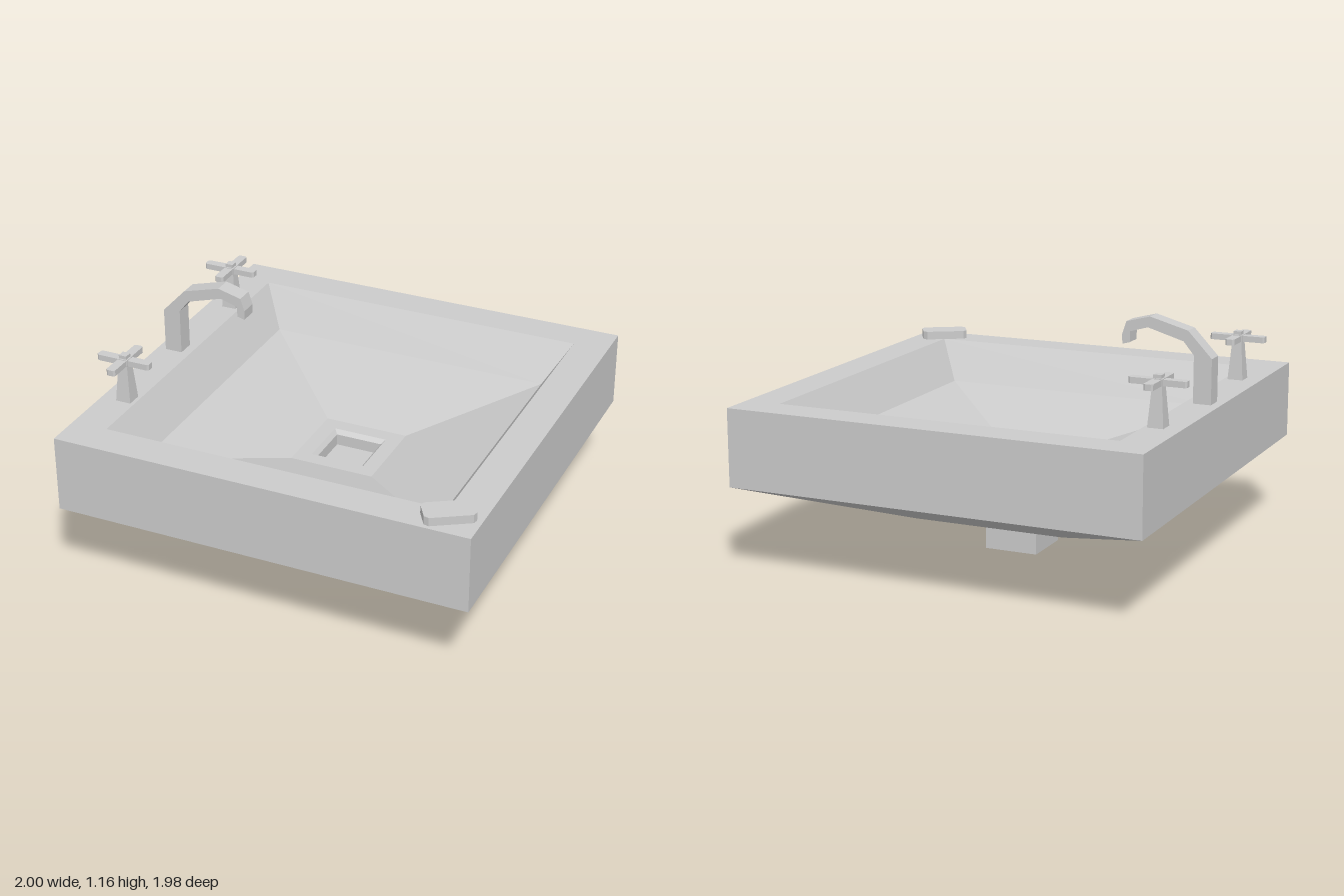
import * as THREE from 'three';

const grey = new THREE.MeshStandardMaterial({ color: 0xcccccc, flatShading: true });

function add(parent, name, geometry, x = 0, y = 0, z = 0) {
  const mesh = new THREE.Mesh(geometry, grey);
  mesh.name = name;
  mesh.position.set(x, y, z);
  parent.add(mesh);
  return mesh;
}

// Square-plan solid from a profile of [half width, height] pairs
function squareLathe(profile) {
  const points = profile.map(([h, y]) => new THREE.Vector2(h * Math.SQRT2, y));
  return new THREE.LatheGeometry(points, 4, Math.PI / 4);
}

// Horizontal slab with cut corners, standing on y = 0
function chamferedSlab(length, width, height, c) {
  const a = length / 2, b = width / 2;
  const shape = new THREE.Shape([
    [-a + c, -b], [a - c, -b], [a, -b + c], [a, b - c],
    [a - c, b], [-a + c, b], [-a, b - c], [-a, -b + c],
  ].map(([x, y]) => new THREE.Vector2(x, y)));
  const geometry = new THREE.ExtrudeGeometry(shape, { depth: height, bevelEnabled: false });
  return geometry.rotateX(-Math.PI / 2);
}

// Tapered post with a cross-shaped grip
function tapHandle(name) {
  const handle = new THREE.Group();
  handle.name = name;
  add(handle, 'handlePost', squareLathe([[0, 0], [0.037, 0], [0.022, 0.19], [0, 0.19]]));
  add(handle, 'handleHub', new THREE.BoxGeometry(0.054, 0.034, 0.054), 0, 0.197, 0);
  add(handle, 'handleCap', new THREE.BoxGeometry(0.038, 0.04, 0.038), 0, 0.21, 0);
  for (const turn of [0, Math.PI / 2]) {
    const arm = add(handle, 'handleArm', chamferedSlab(0.266, 0.044, 0.028, 0.008), 0, 0.183, 0);
    arm.rotation.y = turn;
  }
  return handle;
}

export function createModel() {
  const model = new THREE.Group();
  model.name = 'sink';
  const cx = 0.008, rim = 0.78;

  // Bowl: underside, outer wall, rim, inner slopes and drain recess
  add(model, 'basin', squareLathe([
    [0.13, 0.18], [0.37, 0.18], [0.99, 0.415], [0.99, rim], [0.82, rim], [0.705, 0.59],
    [0.205, 0.445], [0.132, 0.445], [0.114, 0.425], [0.114, 0.37], [0, 0.37],
  ]), cx);

  // Hollow outlet under the bowl
  add(model, 'drainPipe', squareLathe([
    [0, 0.17], [0.095, 0.17], [0.095, 0], [0.13, 0], [0.13, 0.18],
  ]), cx);

  // Angular curved spout
  const spout = new THREE.Shape([
    [-0.94, rim], [-0.855, rim], [-0.855, 1.0], [-0.805, 1.06], [-0.634, 1.11],
    [-0.548, 1.085], [-0.548, 1.035], [-0.512, 1.025], [-0.51, 1.07], [-0.53, 1.13],
    [-0.644, 1.16], [-0.826, 1.11], [-0.94, 0.99],
  ].map(([x, y]) => new THREE.Vector2(x, y)));
  add(model, 'spout', new THREE.ExtrudeGeometry(spout, { depth: 0.085, bevelEnabled: false }), 0, 0, -0.05);

  // Pair of tap handles
  for (const [name, z] of [['rightRearHandle', -0.52], ['rightFrontHandle', 0.537]]) {
    const handle = tapHandle(name);
    handle.position.set(-0.867, rim, z);
    model.add(handle);
  }

  // Soap bar lying askew on the front corner
  const soap = add(model, 'soapBar', chamferedSlab(0.225, 0.123, 0.04, 0.018), 0.852, rim, 0.87);
  soap.rotation.y = 0.55;

  return model;
}
